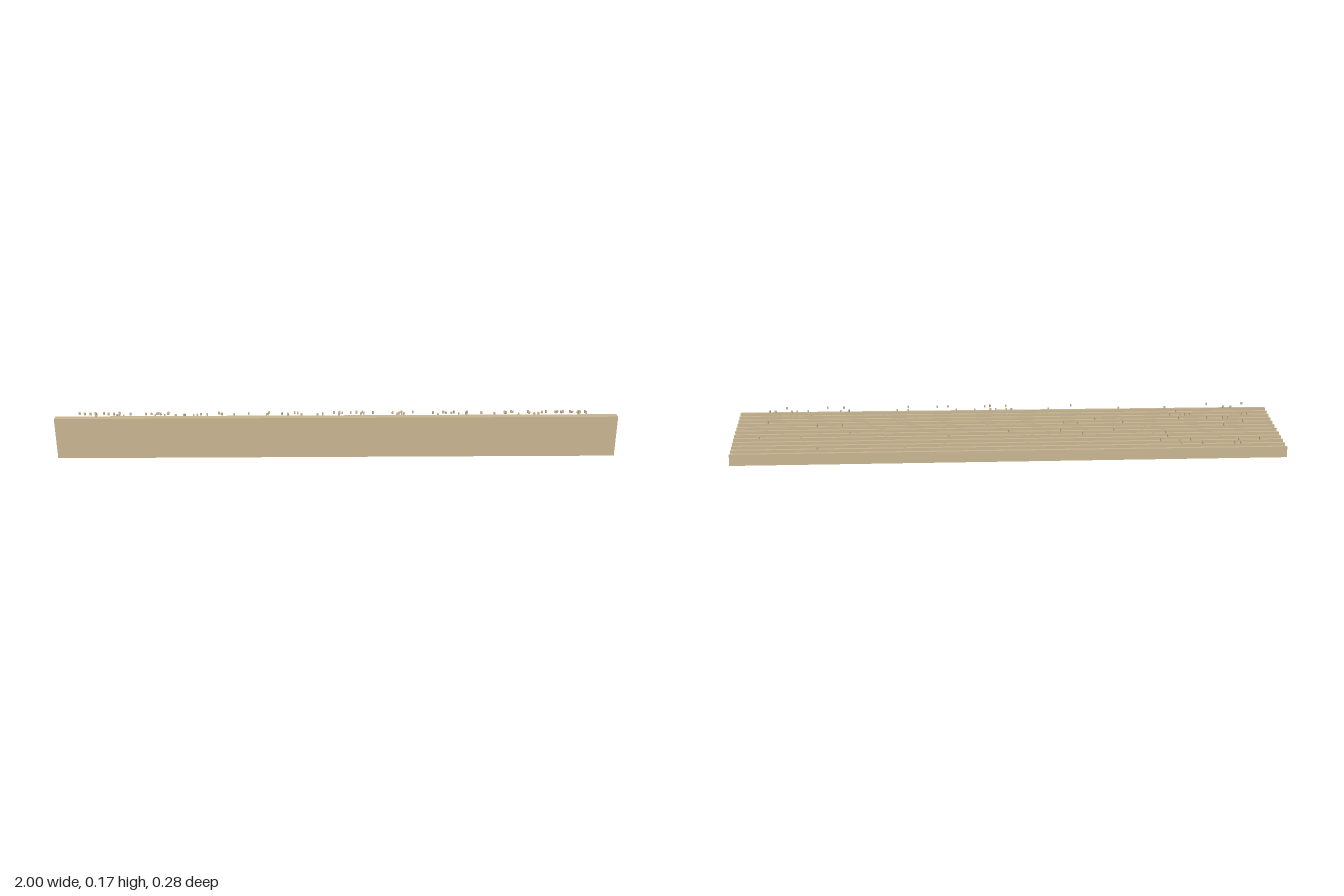
import * as THREE from 'three';

const STEPS = 12, HALF_DEPTH = 0.14, LOW = 0.0395, RISE = 0.0102, GO = 0.0232;

// x positions of the small blocks on each row, lowest (back) row first, in hundredths
const ROWS = [
  [-83, -81, -69, -61, 39, 50, 70],
  [-91, -83, -65, -61, -54, -5, 25],
  [-57, 75],
  [-57, -52, -26, -13, -7, 23, 46, 76, 91],
  [-48, -38, -18, 1, 59],
  [-80, -50, 25, 48],
  [-88, -42, -25, -20, 1, 9, 23, 62, 71, 92],
  [-83, -81, -75, -64, -42, -32, -5, 10, 40, 42, 53, 62, 89],
  [-91, -89, -69, -67, -65, -61, 35],
  [-64, -14, 2, 47, 74, 79, 81, 85, 87],
  [-86, -83, -60, -42, -15, -1, 1, 5, 7, 13, 20, 38, 42, 60, 63, 75, 79, 81, 87, 89],
  [-91, -77, -24, 1, 7, 9, 23, 27, 38, 62, 68, 83],
];

export function createModel() {
  const group = new THREE.Group();
  const material = new THREE.MeshStandardMaterial({ color: 0xc8b591, flatShading: true });

  // Stepped profile, climbing from the back to the front, run along x
  const profile = new THREE.Shape();
  profile.moveTo(HALF_DEPTH, 0);
  profile.lineTo(-HALF_DEPTH, 0);
  let z = -HALF_DEPTH;
  for (let i = 0; i < STEPS; i++) {
    const y = LOW + i * RISE;
    profile.lineTo(z, y);
    z = i === STEPS - 1 ? HALF_DEPTH : -HALF_DEPTH + (i + 1) * GO;
    profile.lineTo(z, y);
  }
  profile.closePath();
  const steps = new THREE.ExtrudeGeometry(profile, { depth: 2, bevelEnabled: false });
  steps.rotateY(-Math.PI / 2).translate(1, 0, 0);
  const terrace = new THREE.Mesh(steps, material);
  terrace.name = 'terrace';
  group.add(terrace);

  // Small blocks hovering above the steps
  const block = new THREE.BoxGeometry(0.006, 0.009, 0.006);
  ROWS.forEach((xs, i) => {
    const row = new THREE.Group();
    row.name = `blockRow${i + 1}`;
    for (const x of xs) {
      const mesh = new THREE.Mesh(block, material);
      mesh.name = 'block';
      mesh.position.set(x / 100, 0.0555 + i * 0.01023, -0.126 + i * 0.023);
      row.add(mesh);
    }
    group.add(row);
  });
  return group;
}
